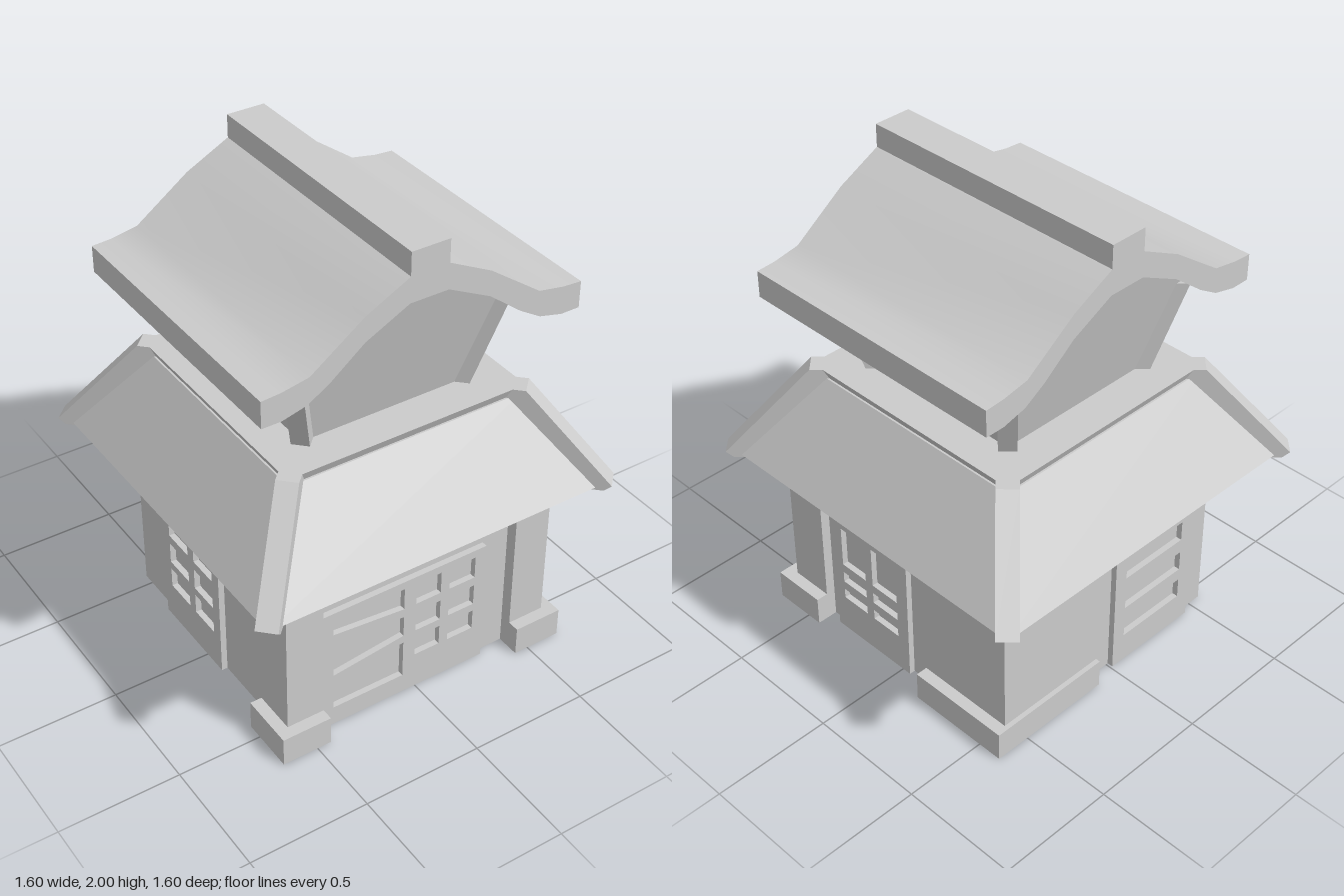
import * as THREE from 'three';
import { toCreasedNormals } from 'three/addons/utils/BufferGeometryUtils.js';

const flat = new THREE.MeshStandardMaterial({ color: 0xcccccc, flatShading: true });
const smooth = new THREE.MeshStandardMaterial({ color: 0xcccccc });

export function createModel() {
  const model = new THREE.Group();

  const add = (name, geometry, material = flat) => {
    const mesh = new THREE.Mesh(geometry, material);
    mesh.name = name;
    model.add(mesh);
    return mesh;
  };

  // Box given by its limits on each axis
  const block = (name, x0, x1, y0, y1, z0, z1) =>
    add(name, new THREE.BoxGeometry(x1 - x0, y1 - y0, z1 - z0)
      .translate((x0 + x1) / 2, (y0 + y1) / 2, (z0 + z1) / 2));

  // Square frustum given by half widths
  const frustum = (name, bottom, top, y0, y1) =>
    add(name, new THREE.CylinderGeometry(top * Math.SQRT2, bottom * Math.SQRT2, y1 - y0, 4)
      .rotateY(Math.PI / 4).translate(0, (y0 + y1) / 2, 0));

  const toPoints = (list) => list.map(([x, y]) => new THREE.Vector2(x, y));
  const extrude = (shape, depth) =>
    new THREE.ExtrudeGeometry(shape, { depth, bevelEnabled: false });
  const rect = (x0, x1, y0, y1) => [[x0, y0], [x1, y0], [x1, y1], [x0, y1]];

  // Slanted bar in the diagonal plane, repeated on the four corners
  const cornerBars = (name, profile, width) => {
    const geometry = extrude(new THREE.Shape(toPoints(profile)), width).translate(0, 0, -width / 2);
    for (let i = 0; i < 4; i++) {
      add(name, geometry).rotation.y = Math.PI / 4 + i * Math.PI / 2;
    }
  };

  // Lower storey
  block('lowerWalls', -0.56, 0.56, 0, 0.76, -0.55, 0.57);

  // Corner pillars with plinths: two narrow at the front, one wide at the back
  for (const s of [-1, 1]) {
    const span = (a, b) => (s > 0 ? [a, b] : [-b, -a]);
    block('frontPillar', ...span(0.44, 0.6), 0, 0.76, 0.435, 0.62);
    block('frontPlinth', ...span(0.44, 0.65), 0, 0.125, 0.435, 0.67);
  }
  block('backPillar', 0.1, 0.6, 0, 0.76, -0.585, -0.155);
  block('backPlinth', 0.1, 0.65, 0, 0.125, -0.605, -0.155);

  // Lattice panels: a frame with openings, standing on a wall
  const panel = (name, u0, u1, holes, distance, angle) => {
    const shape = new THREE.Shape(toPoints(rect(u0, u1, 0, 0.56)));
    for (const hole of holes) shape.holes.push(new THREE.Path(toPoints(hole)));
    add(name, extrude(shape, 0.03).translate(0, 0, distance)).rotation.y = angle;
  };
  const grid = (columns, rows) =>
    columns.flatMap(([a, b]) => rows.map(([c, d]) => rect(a, b, c, d)));
  const paneRows = [[0.165, 0.255], [0.29, 0.385], [0.425, 0.525]];

  panel('frontDoor', -0.44, 0.32, [
    [[-0.38, 0.455], [-0.06, 0.425], [-0.06, 0.525], [-0.38, 0.525]],
    [[-0.38, 0.25], [-0.06, 0.29], [-0.06, 0.385], [-0.38, 0.415]],
    [[-0.38, 0.085], [-0.06, 0.085], [-0.06, 0.255], [-0.38, 0.21]],
    ...grid([[-0.005, 0.11], [0.15, 0.27]], paneRows),
  ], 0.565, 0);
  panel('rightWindow', -0.38, 0.04,
    grid([[-0.335, -0.2], [-0.16, -0.02]], [[0.165, 0.21], [0.25, 0.3], [0.34, 0.525]]),
    0.555, Math.PI / 2);
  panel('backWindow', 0.01, 0.45,
    grid([[0.07, 0.39]], [[0.13, 0.22], [0.275, 0.365], [0.43, 0.52]]),
    0.545, Math.PI);
  panel('leftWindow', -0.32, 0.11,
    grid([[-0.27, -0.125], [-0.08, 0.06]], paneRows),
    0.555, -Math.PI / 2);

  // Lower roof: beam, four slopes, overhanging cap and corner ridges
  frustum('eaveBeam', 0.66, 0.68, 0.735, 0.79);
  frustum('lowerRoof', 0.757, 0.51, 0.785, 1.15);
  frustum('lowerRoofCap', 0.5, 0.52, 1.145, 1.19);
  cornerBars('hipRidge',
    [[0.64, 1.19], [0.96, 0.775], [1.06, 0.775], [1.089, 0.8], [0.742, 1.19]], 0.085);

  // Upper storey: gabled walls leaning outwards
  const gable = [[-0.36, 1.185], [0.36, 1.185], [0.45, 1.58], [0.26, 1.73],
    [0.08, 1.82], [-0.08, 1.82], [-0.26, 1.73], [-0.45, 1.58]];
  const walls = extrude(new THREE.Shape(toPoints(gable)), 1);
  const p = walls.attributes.position;
  for (let i = 0; i < p.count; i++) {
    const reach = 0.36 + (p.getY(i) - 1.19) * 0.25;
    p.setZ(i, p.getZ(i) > 0.5 ? reach : -reach);
  }
  add('upperWalls', walls);
  cornerBars('upperPost', [[0.42, 1.185], [0.53, 1.185], [0.66, 1.57], [0.55, 1.57]], 0.07);

  // Upper roof: swept profile with a square ridge
  const half = [[0.08, 1.8], [0.26, 1.71], [0.4, 1.6], [0.49, 1.545], [0.59, 1.52], [0.67, 1.52],
    [0.67, 1.63], [0.59, 1.635], [0.48, 1.655], [0.26, 1.813], [0.08, 1.905], [0.08, 2]];
  const outline = [...half, ...half.map(([x, y]) => [-x, y]).reverse()];
  const roof = extrude(new THREE.Shape(toPoints(outline)), 1.175).translate(0, 0, -0.572);
  add('upperRoof', toCreasedNormals(roof, 0.6), smooth);

  return model;
}
